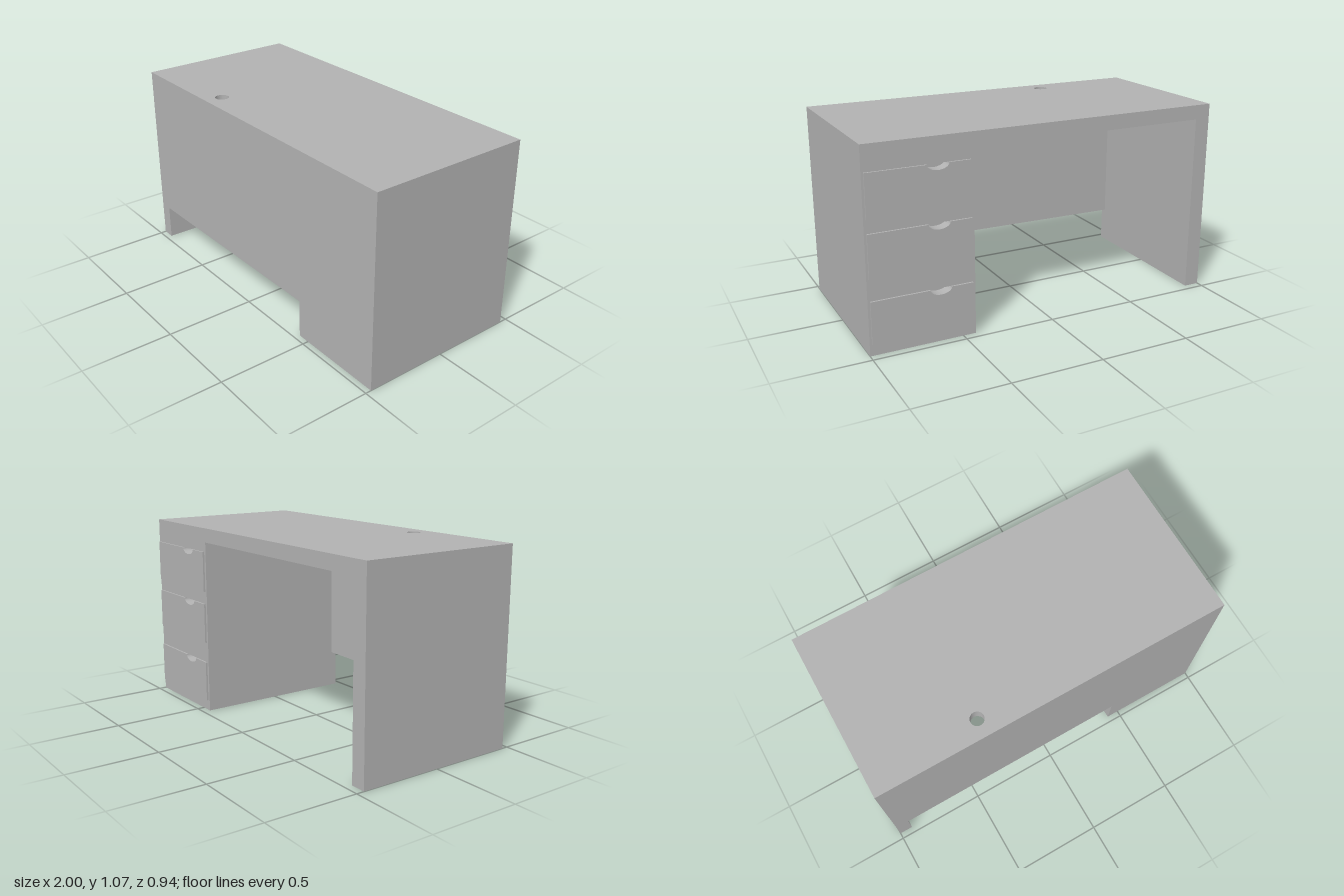
import * as THREE from 'three';

const HEIGHT = 1.07, TOP = 0.08, UNDER = HEIGHT - TOP;
const FRONT = 0.467, BACK = -0.458, FACE = -0.468;
const PED = 0.43; // inner side of the drawer pedestal
const PULL = { x: 0.62, rx: 0.058, ry: 0.032, depth: 0.05 };

const polygon = (pts) => new THREE.Shape(pts.map(([x, y]) => new THREE.Vector2(x, y)));

const extrude = (shape, depth) =>
  new THREE.ExtrudeGeometry(shape, { depth, bevelEnabled: false, curveSegments: 24 });

// Plan shape (x, z) extruded downwards from the height yTop
const slab = (shape, yTop, thickness) =>
  extrude(shape, thickness).rotateX(Math.PI / 2).translate(0, yTop, 0);

// Lower half-ellipse of a finger pull, drawn from right to left
const pullArc = (path, y) => path.absellipse(PULL.x, y, PULL.rx, PULL.ry, 0, Math.PI, true);

export function createModel() {
  const desk = new THREE.Group();
  desk.name = 'desk';
  const grey = new THREE.MeshStandardMaterial({ color: 0xb2b2b2 });
  grey.name = 'grey';
  const add = (name, geometry) => {
    const mesh = new THREE.Mesh(geometry, grey);
    mesh.name = name;
    desk.add(mesh);
  };

  // Desktop with a round cable hole
  const top = polygon([[-1, BACK], [1, BACK], [1, FRONT], [-1, FRONT]]);
  top.holes.push(new THREE.Path().absarc(-0.39, 0.367, 0.037, 0, Math.PI * 2, true));
  add('desktop', slab(top, HEIGHT, TOP));

  // Side leg, slightly thicker at the back
  add('sideLeg', slab(
    polygon([[-1, BACK], [-0.913, BACK], [-0.925, FRONT], [-1, FRONT]]), UNDER, UNDER));

  // Front panel with a faintly sloping lower edge
  add('modestyPanel', extrude(
    polygon([[-0.925, 0.2], [PED, 0.215], [PED, UNDER], [-0.925, UNDER]]), 0.035)
    .translate(0, 0, FRONT - 0.035));

  // Drawer pedestal: solid body and a back layer pierced by the finger pulls
  const bodyBack = BACK + PULL.depth;
  add('pedestal', new THREE.BoxGeometry(1 - PED, UNDER, FRONT - bodyBack)
    .translate((1 + PED) / 2, UNDER / 2, (FRONT + bodyBack) / 2));
  const drawers = [[0.06, 0.29], [0.405, 0.635], [0.705, 0.935]];
  const frame = polygon([[PED, 0], [1, 0], [1, UNDER], [PED, UNDER]]);
  for (const [, y1] of drawers) {
    const pocket = new THREE.Path().moveTo(PULL.x + PULL.rx, y1);
    pullArc(pocket, y1);
    pocket.closePath();
    frame.holes.push(pocket);
  }
  add('pedestalFrame', extrude(frame, PULL.depth).translate(0, 0, BACK));

  // Drawer fronts notched at the pulls
  drawers.forEach(([y0, y1], i) => {
    const front = new THREE.Shape().moveTo(0.445, y0).lineTo(0.988, y0)
      .lineTo(0.988, y1).lineTo(PULL.x + PULL.rx, y1);
    pullArc(front, y1);
    front.lineTo(0.445, y1);
    add(`drawerFront${i + 1}`, extrude(front, BACK - FACE).translate(0, 0, FACE));
  });

  return desk;
}
